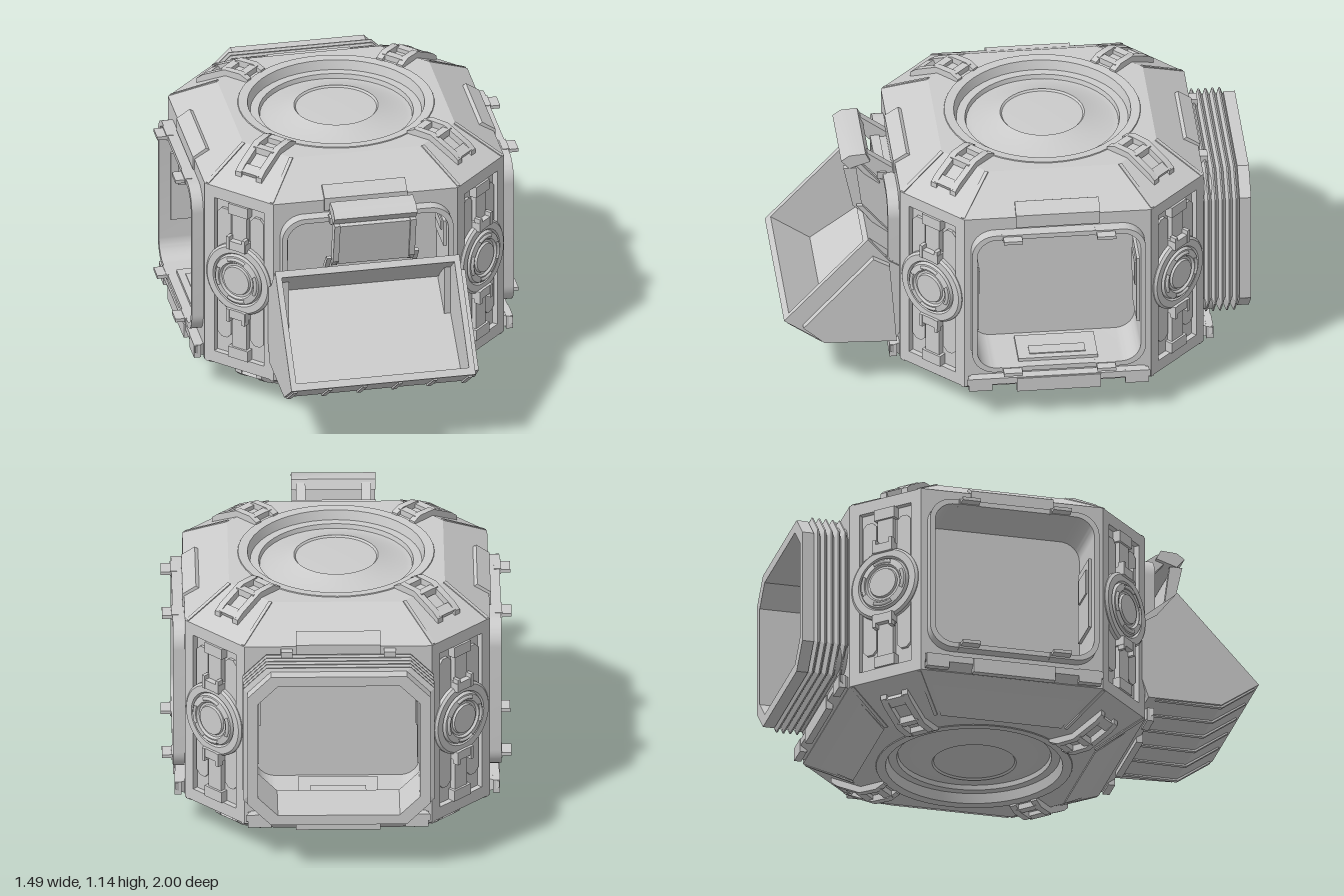
import * as THREE from 'three';
import { toCreasedNormals } from 'three/addons/utils/BufferGeometryUtils.js';

const CZ = -0.145;   // centre of the eight-sided hull
const MID = 0.57;    // its mid height
const A = 0.65, B = 0.4;              // wall distance and half length of a main wall
const D = (A + B) / Math.SQRT2;       // distance of a diagonal wall
const grey = new THREE.MeshStandardMaterial({ color: 0xcccccc });
const greyThin = new THREE.MeshStandardMaterial({ color: 0xcccccc, side: THREE.DoubleSide });

function add(parent, name, geo, x = 0, y = 0, z = 0, mat = grey) {
  const m = new THREE.Mesh(geo, mat);
  m.name = name;
  m.position.set(x, y, z);
  parent.add(m);
  return m;
}
const box = (parent, name, w, h, d, x, y, z) => add(parent, name, new THREE.BoxGeometry(w, h, d), x, y, z);

function group(parent, name, angle = 0, y = 0, z = 0) {
  const g = new THREE.Group();
  g.name = name;
  g.rotation.y = angle;
  g.position.set(0, y, z);
  parent.add(g);
  return g;
}

// Rectangle with rounded corners
function roundRect(w, h, r, cy = 0, Type = THREE.Shape) {
  const s = new Type();
  s.absarc(w - r, cy + h - r, r, 0, Math.PI / 2);
  s.absarc(-w + r, cy + h - r, r, Math.PI / 2, Math.PI);
  s.absarc(-w + r, cy - h + r, r, Math.PI, Math.PI * 1.5);
  s.absarc(w - r, cy - h + r, r, Math.PI * 1.5, Math.PI * 2);
  s.closePath();
  return s;
}

// Rectangle with cut corners, counter-clockwise
const cutRect = (w, h, c) => [[w, c - h], [w, h - c], [w - c, h], [c - w, h], [-w, h - c], [-w, c - h], [c - w, -h], [w - c, -h]];
const shapeOf = pts => new THREE.Shape(pts.map(p => new THREE.Vector2(...p)));

function extrude(shape, depth) {
  return toCreasedNormals(new THREE.ExtrudeGeometry(shape, { depth, bevelEnabled: false, curveSegments: 8 }), 0.6);
}

// Side profile in (outward, up), extruded sideways
function profile(pts, width) {
  return extrude(shapeOf(pts), width).translate(0, 0, -width / 2).rotateY(-Math.PI / 2);
}

// The same, with its width growing with the distance from the centre
function fanProfile(pts, widthPerUnit) {
  const g = profile(pts, widthPerUnit), p = g.attributes.position;
  for (let i = 0; i < p.count; i++) p.setX(i, p.getX(i) * p.getZ(i));
  g.computeVertexNormals();
  return g;
}

// Skin through cut-corner sections [w, h, cut, z]
function loft(rows) {
  const pos = [];
  for (let k = 0; k < rows.length - 1; k++) {
    const [lo, hi] = [rows[k], rows[k + 1]].map(([w, h, c, z]) => cutRect(w, h, c).map(p => [...p, z]));
    for (let i = 0; i < 8; i++) {
      const j = (i + 1) % 8;
      pos.push(...lo[i], ...lo[j], ...hi[j], ...lo[i], ...hi[j], ...hi[i]);
    }
  }
  const g = new THREE.BufferGeometry();
  g.setAttribute('position', new THREE.Float32BufferAttribute(pos, 3));
  g.computeVertexNormals();
  return g;
}

function lathe(pts, seg = 48) {
  return toCreasedNormals(new THREE.LatheGeometry(pts.map(p => new THREE.Vector2(...p)), seg), 0.4);
}

// Sloped roof with a round hatch and four bent clamps; also used upside down as the underside
function buildCap(parent, name) {
  const cap = group(parent, name, 0, MID, CZ);
  add(cap, 'slopes', loft([[A, A, A - B, 0.425], [0.46, 0.46, 0.18, 0.54]]).rotateX(-Math.PI / 2));
  const top = shapeOf(cutRect(0.46, 0.46, 0.18));
  top.holes.push(new THREE.Path().absarc(0, 0, 0.41, 0, Math.PI * 2, true));
  add(cap, 'topPlate', new THREE.ShapeGeometry(top, 24).rotateX(-Math.PI / 2), 0, 0.54, 0);
  add(cap, 'roundHatch', lathe([[0.422, 0.535], [0.418, 0.544], [0.378, 0.541], [0.366, 0.5], [0.33, 0.5],
    [0.325, 0.48], [0.3, 0.48], [0.18, 0.525], [0.173, 0.517], [0, 0.523]]));
  const up = new THREE.Vector3(0, 0, 1);
  for (let i = 0; i < 4; i++) {
    const c = group(cap, 'clamp', Math.PI / 4 + i * Math.PI / 2);
    for (const x of [-0.052, 0.052]) add(c, 'clampRail', profile([[0.41, 0.535], [0.67, 0.45], [0.67, 0.485],
      [0.64, 0.51], [0.53, 0.567], [0.45, 0.57], [0.41, 0.552]], 0.03), x);
    for (const [r, y] of [[0.45, 0.55], [0.54, 0.543]]) box(c, 'clampBar', 0.1, 0.03, 0.035, 0, y, r);
    box(c, 'clampFoot', 0.1, 0.03, 0.045, 0, 0.487, 0.64).rotation.x = 0.5;
    // Narrow raised strips along the hips
    for (const s of [-1, 1]) {
      const low = new THREE.Vector3(s * 0.165, 0.425, D - 0.005), high = new THREE.Vector3(s * 0.122, 0.538, 0.525);
      const m = box(c, 'hipStrip', 0.016, 0.012, low.distanceTo(high), 0, 0, 0);
      m.position.lerpVectors(low, high, 0.5);
      m.quaternion.setFromUnitVectors(up, low.sub(high).normalize());
    }
  }
  return cap;
}

// Main wall with a rounded opening and a shallow alcove behind it
function buildWall(parent, name, angle, handles, screenY, screenHeight) {
  const g = group(parent, name, angle, 0, CZ), cy = 0.59;
  const wall = shapeOf([[-B, 0.145], [B, 0.145], [B, 0.995], [-B, 0.995]]);
  wall.holes.push(roundRect(0.36, 0.335, 0.09, cy, THREE.Path));
  add(g, 'wallPlate', extrude(wall, 0.03), 0, 0, A - 0.03);
  const ring = roundRect(0.372, 0.347, 0.1, cy);
  ring.holes.push(roundRect(0.35, 0.325, 0.085, cy, THREE.Path));
  add(g, 'alcoveFrame', extrude(ring, 0.27), 0, 0, 0.43);
  box(g, 'alcoveBack', 0.73, 0.68, 0.02, 0, cy, 0.43);
  for (const s of [-1, 1]) {
    box(g, 'sideScreen', 0.015, screenHeight, 0.18, s * 0.345, screenY, 0.56);
    box(g, 'screenInset', 0.02, screenHeight * 0.35, 0.12, s * 0.341, screenY + screenHeight * 0.2, 0.56);
    if (handles) for (const t of [-1, 1]) {
      box(g, 'frameHandle', 0.08, 0.015, 0.09, s * 0.2, cy + t * 0.335, 0.7);
      box(g, 'frameHandleFoot', 0.09, 0.025, 0.03, s * 0.2, cy + t * 0.337, 0.69);
    }
  }
  box(g, 'floorHatch', 0.34, 0.015, 0.18, 0, 0.272, 0.57);
  box(g, 'floorHatchStep', 0.24, 0.02, 0.06, 0, 0.274, 0.6);
  // Block on the roof edge
  add(g, 'eaveBlock', profile([[0.62, 0.945], [0.657, 0.945], [0.657, 1.005], [0.6, 1.043], [0.58, 1.03]], 0.36));
  // Apron over the lower slope with a central block
  add(g, 'apron', fanProfile([[0.6, 0.205], [0.46, 0.05], [0.465, 0.026], [0.69, 0.175], [0.69, 0.205]], 1.14));
  box(g, 'apronBlock', 0.36, 0.065, 0.03, 0, 0.17, 0.682);
  for (const s of [-1, 1]) box(g, 'apronTab', 0.1, 0.06, 0.03, s * 0.335, 0.177, 0.678);
}

// Diagonal wall with posts, rail and a round port
function buildCorner(parent, angle) {
  const g = group(parent, 'cornerWall', angle, 0, CZ), py = 0.585, pz = D - 0.008;
  box(g, 'cornerPlate', 0.3, 0.85, 0.02, 0, MID, D - 0.035);
  box(g, 'centreRail', 0.075, 0.76, 0.03, 0, MID, D - 0.015);
  for (const s of [-1, 1]) {
    box(g, 'cornerPost', 0.05, 0.85, 0.04, s * 0.152, MID, D - 0.02);
    add(g, 'recessPanel', extrude(shapeOf(cutRect(0.034, 0.31, 0.02)), 0.014), s * 0.084, py, D - 0.026);
    box(g, 'cornerBand', 0.354, 0.055, 0.04, 0, MID + s * 0.3975, D - 0.02);
    box(g, 'railClip', 0.1, 0.05, 0.04, 0, MID + s * 0.345, D - 0.01);
    box(g, 'portLatch', 0.1, 0.04, 0.045, 0, py + s * 0.165, pz + 0.012);
    for (const x of [-0.04, 0.04]) box(g, 'portLatchArm', 0.016, 0.06, 0.03, x, py + s * 0.175, pz + 0.022);
  }
  add(g, 'roundPort', lathe([[0.165, -0.03], [0.165, 0.012], [0.155, 0.022], [0.125, 0.022], [0.118, 0.012],
    [0.112, 0.027], [0.085, 0.032], [0.078, 0.022], [0.068, 0.022], [0.064, 0.032], [0, 0.032]]).rotateX(Math.PI / 2), 0, py, pz);
  for (let i = 0; i < 4; i++) {
    const t = add(g, 'portGrip', new THREE.TorusGeometry(0.098, 0.008, 6, 10, 0.9), 0, py, pz + 0.03);
    t.rotation.z = i * Math.PI / 2 - 0.45;
  }
}

// Folding docking tunnel on the back
function buildTunnel(parent) {
  const g = group(parent, 'dockingTunnel', Math.PI, 0.6, 0);
  const rows = [[0.38, 0.34, 0.1, 0.78]];
  for (let i = 0; i < 5; i++) {
    const z = 0.8 + i * 0.03;
    rows.push([0.385, 0.345, 0.1, z], [0.408, 0.366, 0.1, z + 0.012], [0.408, 0.366, 0.1, z + 0.018]);
  }
  rows.push([0.38, 0.34, 0.1, 0.95]);
  add(g, 'bellows', loft(rows));
  const end = shapeOf(cutRect(0.39, 0.355, 0.1));
  end.holes.push(new THREE.Path(cutRect(0.345, 0.31, 0.085).map(p => new THREE.Vector2(...p))));
  add(g, 'endFlange', extrude(end, 0.05), 0, 0, 0.95);
  add(g, 'tunnelLining', loft([[0.345, 0.31, 0.085, 0.77], [0.345, 0.31, 0.085, 0.96]]), 0, 0, 0, greyThin);
  for (const x of [-0.22, 0.22]) box(g, 'tunnelBracket', 0.05, 0.05, 0.06, x, 0.36, 0.8);
}

// Open tray hanging out of the front opening
function buildTray(parent) {
  const g = group(parent, 'frontTray');
  g.position.x = -0.02;
  const outer = [[0.515, 0.24], [0.836, 0.24], [1.0, 0.354], [0.64, 0.745], [0.55, 0.63], [0.41, 0.54]];
  add(g, 'trayShell', profile([[0.515, 0.24], [0.836, 0.24], [1.0, 0.354], [0.978, 0.378], [0.81, 0.262],
    [0.43, 0.535], [0.66, 0.723], [0.64, 0.745], [0.41, 0.555]], 0.76));
  for (const s of [-1, 1]) add(g, 'traySide', profile(outer, 0.025), s * 0.3875);
  // Cheeks where the tray passes through the opening
  for (const x of [-0.35, 0.37]) add(g, 'trayCheek', profile([[0.43, 0.53], [0.575, 0.42], [0.575, 0.66], [0.55, 0.64]], 0.045), x);
  add(g, 'trayLatchPlate', profile([[0.52, 0.24], [0.83, 0.25], [0.92, 0.33], [0.62, 0.66], [0.55, 0.62]], 0.03), 0.414);
  for (let i = 0; i < 6; i++) add(g, 'underRib', profile([[0.55, 0.245], [0.55, 0.235], [0.84, 0.232],
    [0.985, 0.335], [0.97, 0.345], [0.83, 0.25]], 0.018), -0.38 + i * 0.152);
}

// Small raised flap above the tray
function buildFlap(parent) {
  const g = group(parent, 'frontFlap');
  add(g, 'flapPanel', profile([[0.645, 0.77], [0.67, 0.77], [0.71, 0.97], [0.685, 0.98]], 0.32));
  add(g, 'flapCap', profile([[0.61, 1.01], [0.7, 0.98], [0.735, 1.02], [0.7, 1.045], [0.63, 1.05]], 0.36));
  for (const s of [-1, 1]) {
    add(g, 'flapEdge', profile([[0.64, 0.75], [0.685, 0.79], [0.725, 0.98], [0.67, 0.98]], 0.025), s * 0.165);
    add(g, 'flapArm', profile([[0.5, 0.9], [0.56, 0.9], [0.65, 1.0], [0.62, 1.04], [0.5, 0.95]], 0.04), s * 0.14);
    add(g, 'flapStay', profile([[0.53, 0.66], [0.56, 0.66], [0.67, 0.8], [0.645, 0.8]], 0.02), s * 0.19);
  }
  box(g, 'flapBar', 0.34, 0.03, 0.04, 0, 0.93, 0.56);
}

export function createModel() {
  const model = new THREE.Group();
  model.name = 'habitatModule';
  buildCap(model, 'roof');
  buildCap(model, 'underside').rotation.x = Math.PI;
  ['frontWall', 'leftWall', 'backWall', 'rightWall'].forEach((name, i) => {
    const front = i === 0;
    buildWall(model, name, i * Math.PI / 2, i % 2 === 1, front ? 0.78 : 0.59, front ? 0.12 : 0.32);
    buildCorner(model, Math.PI / 4 + i * Math.PI / 2);
  });
  buildTunnel(model);
  buildTray(model);
  buildFlap(model);
  return model;
}
